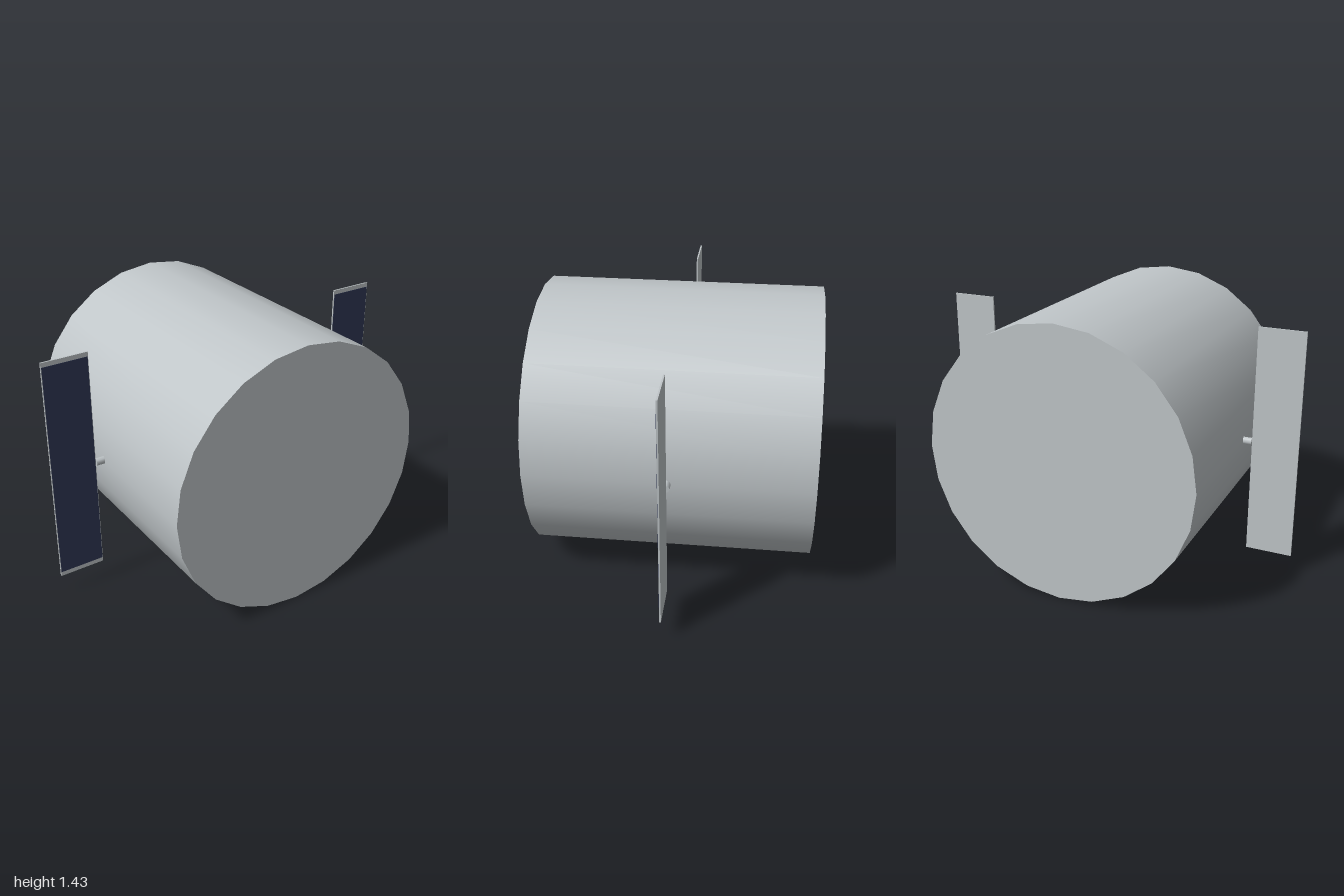
import * as THREE from 'three';

const R = 0.714; // body radius, also half its length

export function createModel() {
  const model = new THREE.Group();
  model.name = 'satellite';

  const hull = new THREE.MeshStandardMaterial({ color: 0xbfc5c8 });
  hull.name = 'light grey hull';
  const cell = new THREE.MeshStandardMaterial({ color: 0x303856 });
  cell.name = 'navy solar cell';

  const add = (name, geometry, material, parent, x = 0, y = 0, z = 0) => {
    const mesh = new THREE.Mesh(geometry, material);
    mesh.name = name;
    mesh.position.set(x, y, z);
    parent.add(mesh);
    return mesh;
  };

  // Drum body lying along z
  add('body', new THREE.CylinderGeometry(R, R, 2 * R, 24).rotateX(Math.PI / 2), hull, model, 0, R, 0);

  // One strut and solar panel on each side
  for (const side of [1, -1]) {
    const wing = new THREE.Group();
    wing.name = side > 0 ? 'leftWing' : 'rightWing';
    wing.position.y = R + 0.003;
    model.add(wing);

    add('strut', new THREE.CylinderGeometry(0.02, 0.02, 0.077, 8).rotateZ(Math.PI / 2), hull, wing, side * 0.7185);
    add('panel', new THREE.BoxGeometry(0.243, 1.214, 0.008), hull, wing, side * 0.8785);
    // Cells cover the front of the panel only
    add('solarCells', new THREE.BoxGeometry(0.237, 1.166, 0.002), cell, wing, side * 0.8785, 0, 0.0045);
  }
  return model;
}
